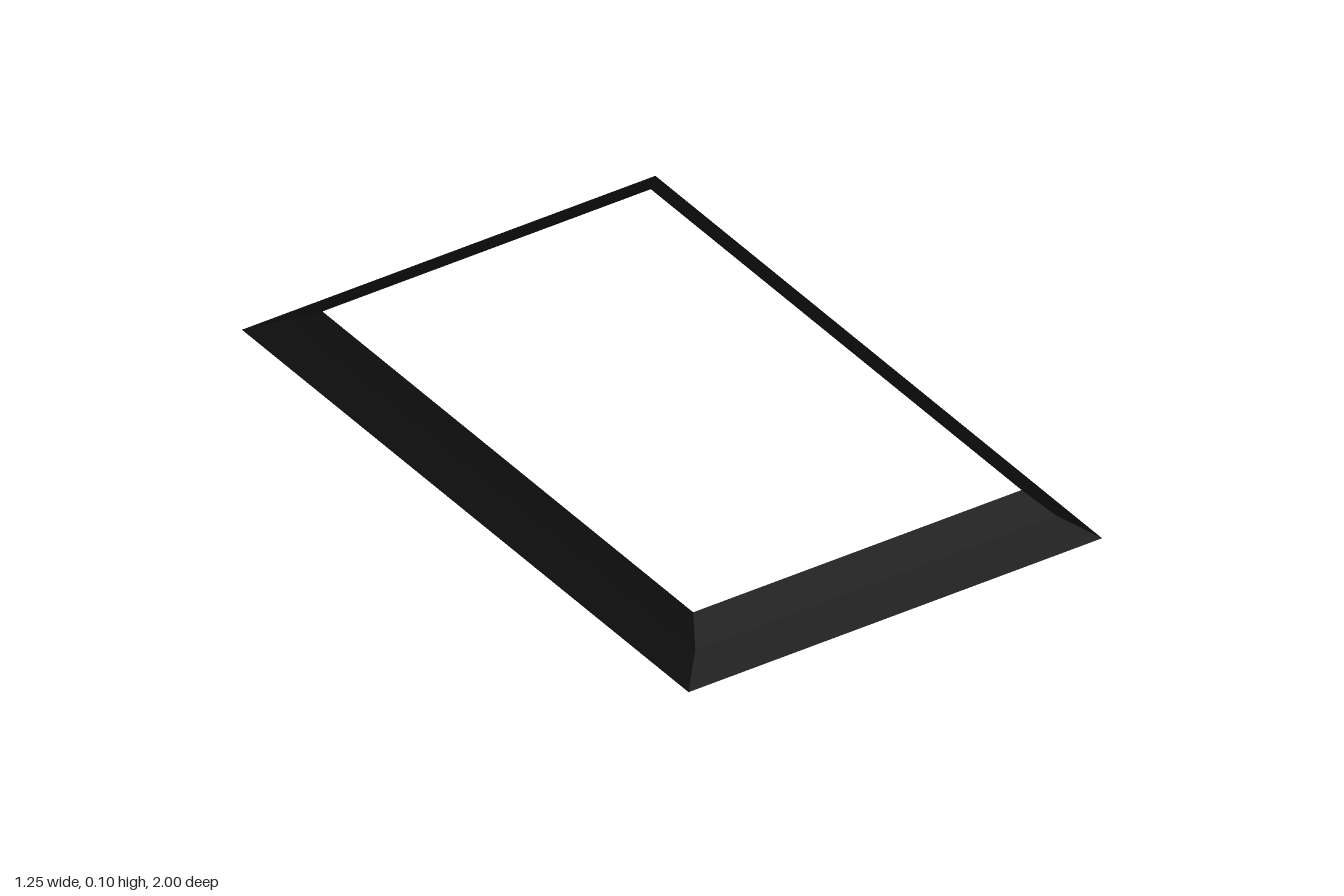
import * as THREE from 'three';

// Rectangular rings from outer foot to inner rim: [half width, height, half depth]
const rings = [
  [0.627, 0, 1],
  [0.547, 0.05, 0.912],
  [0.498, 0.1, 0.83],
];
const corners = [[1, 1], [1, -1], [-1, -1], [-1, 1]];
const names = ['leftRail', 'backRail', 'rightRail', 'frontRail'];

// One mitred rail: a sloping strip between two neighbouring corners
function railGeometry(from, to) {
  const positions = [];
  const index = [];
  rings.forEach(([w, y, d], i) => {
    for (const [sx, sz] of [from, to]) positions.push(sx * w, y, sz * d);
    if (i > 0) {
      const a = 2 * i - 2;
      index.push(a, a + 1, a + 3, a, a + 3, a + 2);
    }
  });
  const geometry = new THREE.BufferGeometry();
  geometry.setAttribute('position', new THREE.Float32BufferAttribute(positions, 3));
  geometry.setIndex(index);
  const flat = geometry.toNonIndexed();
  flat.computeVertexNormals();
  return flat;
}

export function createModel() {
  const group = new THREE.Group();
  group.name = 'frame';
  const material = new THREE.MeshStandardMaterial({
    color: 0x0a0a0a, flatShading: true, side: THREE.DoubleSide,
  });

  // Four thin rails around an open centre
  names.forEach((name, i) => {
    const rail = new THREE.Mesh(railGeometry(corners[i], corners[(i + 1) % 4]), material);
    rail.name = name;
    group.add(rail);
  });
  return group;
}
